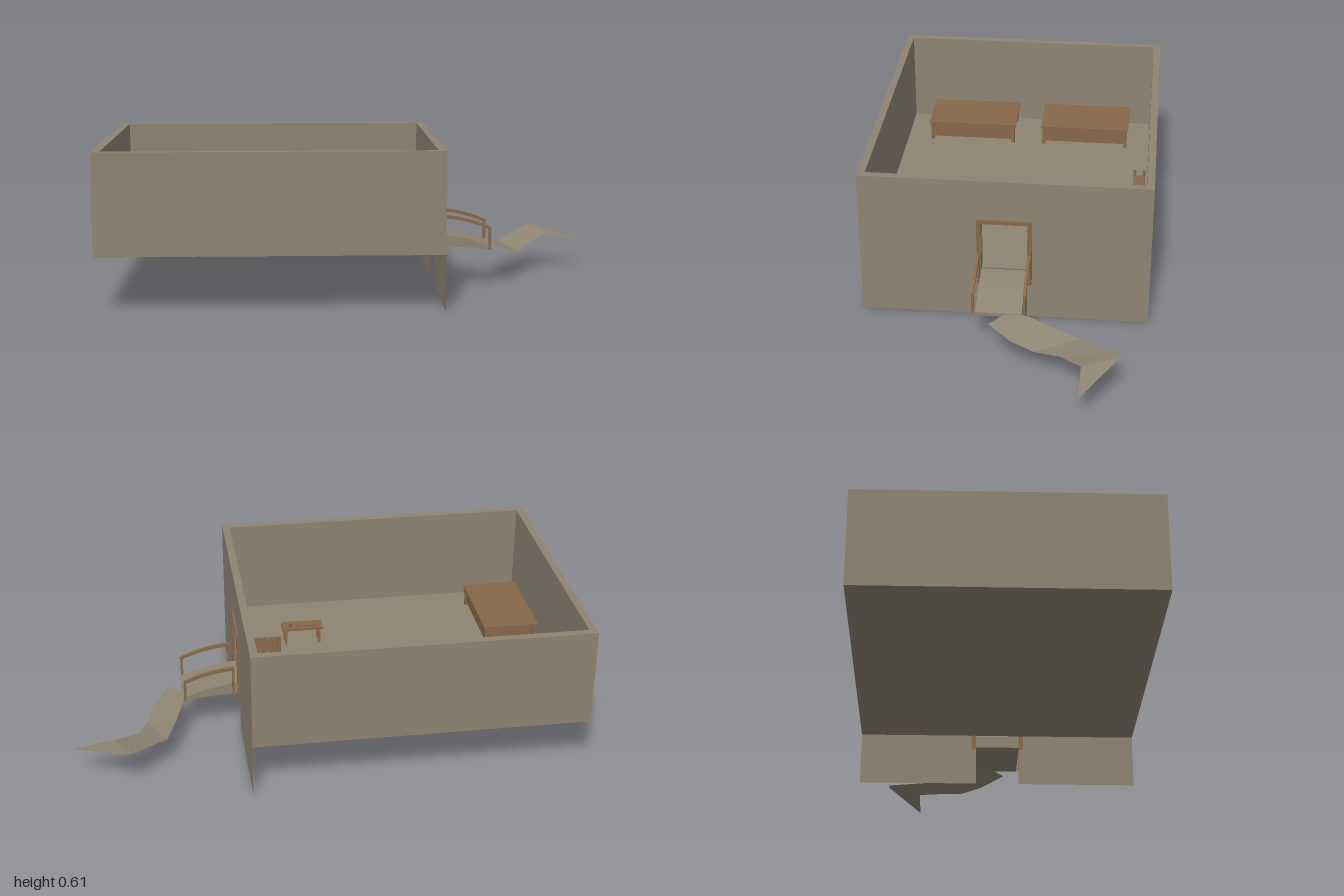
import * as THREE from 'three';

const stone = new THREE.MeshStandardMaterial({ color: 0x8e8473, side: THREE.DoubleSide });
stone.name = 'weathered stone';
const wood = new THREE.MeshStandardMaterial({ color: 0x866849 });
wood.name = 'brown wood';

function add(parent, name, geometry, material) {
  const mesh = new THREE.Mesh(geometry, material);
  mesh.name = name;
  parent.add(mesh);
  return mesh;
}

// Box given by its min and max corners
function box(parent, name, material, [x0, y0, z0], [x1, y1, z1]) {
  const mesh = add(parent, name, new THREE.BoxGeometry(x1 - x0, y1 - y0, z1 - z0), material);
  mesh.position.set((x0 + x1) / 2, (y0 + y1) / 2, (z0 + z1) / 2);
  return mesh;
}

function group(parent, name) {
  const g = new THREE.Group();
  g.name = name;
  parent.add(g);
  return g;
}

// Four square legs inside a rectangle
function legs(parent, name, [x0, x1], [z0, z1], y0, y1, t) {
  for (const x of [x0, x1 - t])
    for (const z of [z0, z1 - t]) box(parent, name, wood, [x, y0, z], [x + t, y1, z + t]);
}

function buildRoom(model) {
  const room = group(model, 'room');
  const Z = 0.575, T = 0.03, Y0 = 0.22, Y1 = 0.61;
  box(room, 'floor', stone, [-1, Y0 - 0.002, -Z], [0.32, Y0 + 0.002, Z]);
  box(room, 'backWall', stone, [-1, Y0, -Z], [0.32, Y1, -Z + T]);
  box(room, 'frontWall', stone, [-1, Y0, Z - T], [0.32, Y1, Z]);
  box(room, 'sideWall', stone, [-1, Y0, -Z + T], [-1 + T, Y1, Z - T]);

  // Entrance wall with a doorway cut from its lower edge
  const pts = [[-Z, Y0], [-0.09, Y0], [-0.09, 0.427], [0.09, 0.427], [0.09, Y0], [Z, Y0], [Z, Y1], [-Z, Y1]];
  const shape = new THREE.Shape(pts.map(p => new THREE.Vector2(...p)));
  const wall = add(room, 'entranceWall', new THREE.ExtrudeGeometry(shape, { depth: T, bevelEnabled: false }), stone);
  wall.rotation.y = -Math.PI / 2;
  wall.position.x = 0.3202;

  // Thin skirts below the entrance wall
  for (const s of [-1, 1]) {
    const skirt = add(room, 'wallSkirt', new THREE.PlaneGeometry(Z - 0.09, Y0), stone);
    skirt.rotation.y = Math.PI / 2;
    skirt.position.set(0.32, Y0 / 2, s * (Z + 0.09) / 2);
  }
}

function buildEntrance(model) {
  const entrance = group(model, 'entrance');
  // Door frame
  for (const s of [-1, 1]) {
    box(entrance, 'framePost', wood, [0.319, 0.155, s * 0.1 - 0.009], [0.33, 0.44, s * 0.1 + 0.009]);
  }
  box(entrance, 'frameBeam', wood, [0.319, 0.425, -0.109], [0.33, 0.44, 0.109]);

  // Plank door standing open into the room
  const door = group(entrance, 'door');
  for (let i = 0; i < 5; i++) {
    const x = 0.15 + i * 0.028;
    box(door, 'doorPlank', wood, [x, 0.225, -0.098], [x + 0.0255, 0.42, -0.092]);
  }
  for (const y of [0.26, 0.37]) box(door, 'doorBrace', wood, [0.15, y, -0.1], [0.29, y + 0.015, -0.097]);
  box(door, 'doorHandle', wood, [0.16, 0.37, -0.092], [0.166, 0.386, -0.085]);

  // Sloping arched deck
  const deck = new THREE.Shape();
  deck.moveTo(0.32, 0.165);
  deck.quadraticCurveTo(0.44, 0.168, 0.55, 0.148);
  deck.lineTo(0.55, 0.162);
  deck.quadraticCurveTo(0.43, 0.214, 0.32, 0.216);
  const deckMesh = add(entrance, 'bridgeDeck',
    new THREE.ExtrudeGeometry(deck, { depth: 0.18, bevelEnabled: false, curveSegments: 6 }), stone);
  deckMesh.position.z = -0.09;

  // Curved hand rails
  for (const s of [-1, 1]) {
    const z0 = s * 0.1 - 0.005, z1 = s * 0.1 + 0.005;
    box(entrance, 'railPost', wood, [0.341, 0.165, z0], [0.351, 0.295, z1]);
    box(entrance, 'railPost', wood, [0.537, 0.155, z0], [0.547, 0.246, z1]);
    const rail = new THREE.Shape();
    rail.moveTo(0.341, 0.284);
    rail.quadraticCurveTo(0.45, 0.279, 0.547, 0.234);
    rail.lineTo(0.547, 0.246);
    rail.quadraticCurveTo(0.45, 0.292, 0.341, 0.297);
    const mesh = add(entrance, 'handRail',
      new THREE.ExtrudeGeometry(rail, { depth: 0.012, bevelEnabled: false, curveSegments: 6 }), wood);
    mesh.position.z = s * 0.1 - 0.006;
  }
}

// Winding path, a ribbon between paired left and right edge points
function buildPath(model) {
  const pairs = [
    [[0.535, 0.162, -0.04], [0.605, 0.148, 0.035]],
    [[0.555, 0.158, -0.12], [0.67, 0.118, -0.06]],
    [[0.59, 0.135, -0.22], [0.70, 0.098, -0.15]],
    [[0.63, 0.12, -0.32], [0.74, 0.112, -0.25]],
    [[0.77, 0.163, -0.47], [0.84, 0.145, -0.335]],
    [[0.80, 0.165, -0.475], [1.0, 0.118, -0.335]],
  ];
  const index = [];
  for (let i = 0; i < pairs.length - 1; i++) {
    const a = i * 2;
    index.push(a, a + 1, a + 2, a + 1, a + 3, a + 2);
  }
  const g = new THREE.BufferGeometry();
  g.setAttribute('position', new THREE.Float32BufferAttribute(pairs.flat(2), 3));
  g.setIndex(index);
  const flat = g.toNonIndexed();
  flat.computeVertexNormals();
  add(model, 'windingPath', flat, stone);
}

function buildFurniture(model) {
  const F = 0.222;
  // Beds: overhanging top, inset body and corner posts
  for (const [z0, z1] of [[-0.45, -0.06], [0.055, 0.445]]) {
    const bed = group(model, 'bed');
    box(bed, 'bedTop', wood, [-0.955, 0.302, z0], [-0.725, 0.311, z1]);
    box(bed, 'bedBody', wood, [-0.943, 0.235, z0 + 0.014], [-0.737, 0.302, z1 - 0.014]);
    legs(bed, 'bedPost', [-0.95, -0.73], [z0 + 0.005, z1 - 0.005], F, 0.302, 0.014);
  }

  // Open shelf rack against the back wall
  const rack = group(model, 'shelfRack');
  legs(rack, 'rackPost', [-0.238, 0.038], [-0.537, -0.487], F, 0.385, 0.011);
  for (const y of [0.25, 0.3, 0.35]) {
    box(rack, 'rackShelf', wood, [-0.235, y, -0.535], [0.035, y + 0.009, -0.489]);
  }

  // Small table with a tray and a cup
  const table = group(model, 'table');
  box(table, 'tableTop', wood, [-0.06, 0.287, 0.18], [0.11, 0.297, 0.245]);
  legs(table, 'tableLeg', [-0.05, 0.1], [0.184, 0.241], F, 0.287, 0.011);
  box(table, 'tray', wood, [-0.033, 0.297, 0.193], [0.048, 0.304, 0.232]);
  const cup = add(table, 'cup', new THREE.CylinderGeometry(0.008, 0.007, 0.016, 12), wood);
  cup.position.set(0.075, 0.305, 0.2);
}

export function createModel() {
  const model = new THREE.Group();
  model.name = 'openRoomWithPath';
  buildRoom(model);
  buildEntrance(model);
  buildPath(model);
  buildFurniture(model);
  return model;
}
